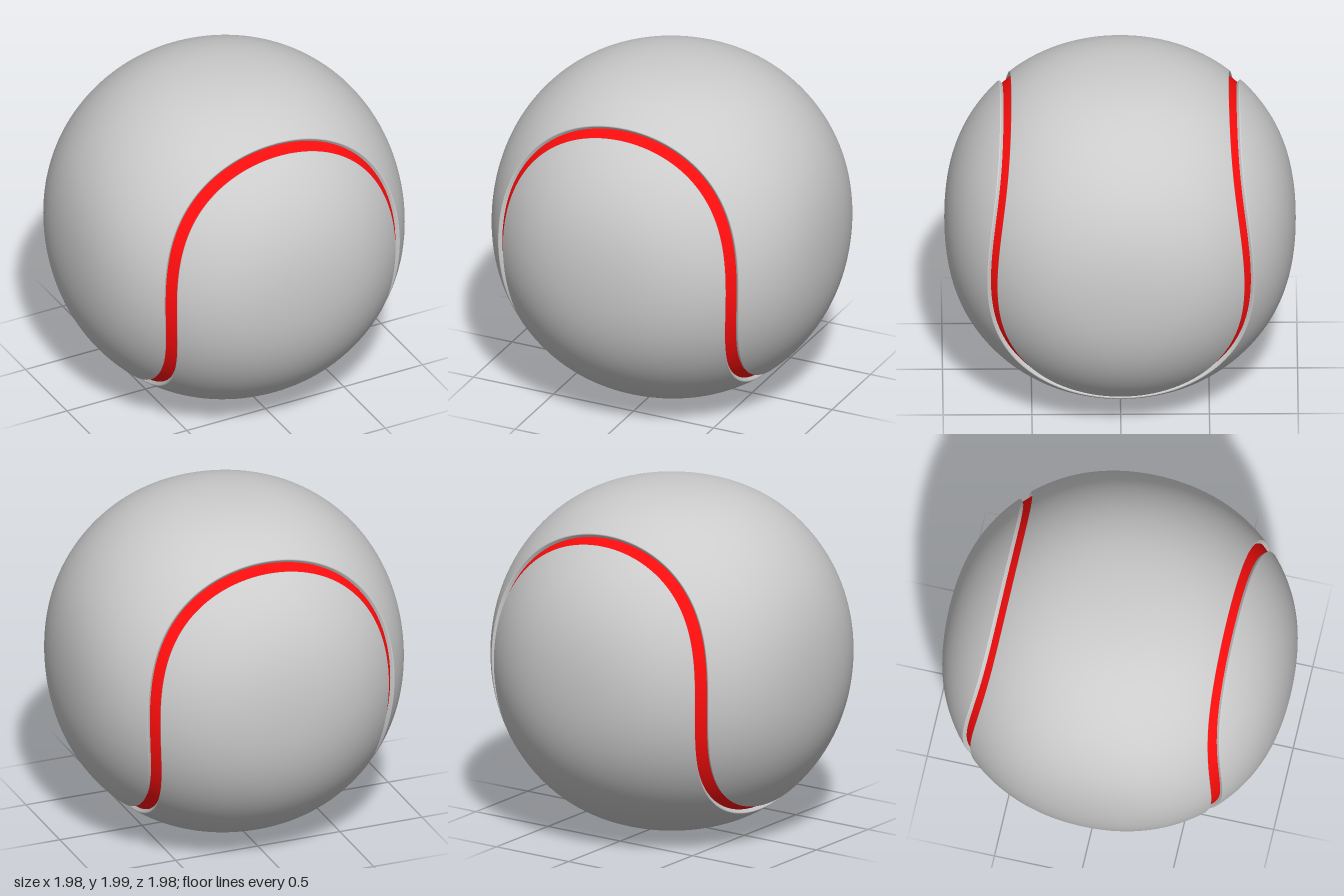
import * as THREE from 'three';

const HALF_PI = Math.PI / 2;

// Seam centre line as unit directions: a closed curve winding between two equal panels
function seamDir(t) {
  const a = 0.8145, b = 0.2178, d = 0.0323, c = 0.777;
  return new THREE.Vector3(
    a * Math.sin(t) + b * Math.sin(3 * t) + d * Math.sin(5 * t),
    c * Math.cos(2 * t),
    a * Math.cos(t) - b * Math.cos(3 * t) + d * Math.cos(5 * t)
  ).normalize();
}

// Seam direction moved sideways by angle w, towards the top panel when positive
function offsetDir(t, w) {
  const p = seamDir(t);
  const tangent = seamDir(t + 1e-3).sub(seamDir(t - 1e-3));
  const side = p.clone().cross(tangent).normalize();
  return p.multiplyScalar(Math.cos(w)).addScaledVector(side, Math.sin(w));
}

// Slightly boxy ball: a little fuller between the axes than along them
function place(d, height = 0) {
  const s = 1 - (d.x ** 4 + d.y ** 4 + d.z ** 4);
  const r = 0.99 * (1 + 0.1 * s - 0.06 * s * s) + height;
  return new THREE.Vector3(d.x * r, d.y * r * 1.006 + 1.001, d.z * r);
}

// Smooth surface from a grid of points, u and v in 0..1
function grid(name, material, nu, nv, point) {
  const positions = [], index = [];
  for (let i = 0; i <= nu; i++)
    for (let j = 0; j <= nv; j++) positions.push(...point(i / nu, j / nv).toArray());
  for (let i = 0; i < nu; i++)
    for (let j = 0; j < nv; j++) {
      const a = i * (nv + 1) + j, b = a + nv + 1;
      index.push(a, b, a + 1, b, b + 1, a + 1);
    }
  const geometry = new THREE.BufferGeometry();
  geometry.setAttribute('position', new THREE.Float32BufferAttribute(positions, 3));
  geometry.setIndex(index);
  geometry.computeVertexNormals();
  const mesh = new THREE.Mesh(geometry, material);
  mesh.name = name;
  return mesh;
}

// One panel: a saddle-shaped skin plus its rounded rim dropping into the groove
function panel(name, material, turn) {
  const group = new THREE.Group();
  group.name = name;
  const rim = [[0.035, -0.045], [0.035, -0.007], [0.0365, -0.002], [0.04, 0]]; // [offset, height]
  const edge = rim[rim.length - 1][0];

  group.add(grid('panelSkin', material, 160, 64, (u, v) => {
    const d = offsetDir((u * 2 - 1) * HALF_PI, edge);
    const lat = Math.asin(d.z) * (1 - 2 * v);
    const flat = Math.hypot(d.x, d.y);
    return place(turn(new THREE.Vector3(
      Math.cos(lat) * d.x / flat, Math.cos(lat) * d.y / flat, Math.sin(lat))));
  }));

  group.add(grid('panelRim', material, 320, rim.length - 1, (u, v) => {
    const [w, h] = rim[Math.round(v * (rim.length - 1))];
    return place(turn(offsetDir(u * 2 * Math.PI, w)), h);
  }));
  return group;
}

export function createModel() {
  const ball = new THREE.Group();
  ball.name = 'ball';
  const grey = new THREE.MeshStandardMaterial({ color: 0xcccccc });
  const red = new THREE.MeshStandardMaterial({ color: 0xff0d0d });

  // Two identical panels, the second turned half round about a diagonal axis
  ball.add(panel('topPanel', grey, d => d));
  ball.add(panel('bottomPanel', grey, d => new THREE.Vector3(d.z, -d.y, d.x)));

  // Red band along the floor of the groove
  ball.add(grid('seamBand', red, 320, 4, (u, v) =>
    place(offsetDir(u * 2 * Math.PI, (v - 0.5) * 0.076), -0.024)));
  return ball;
}
